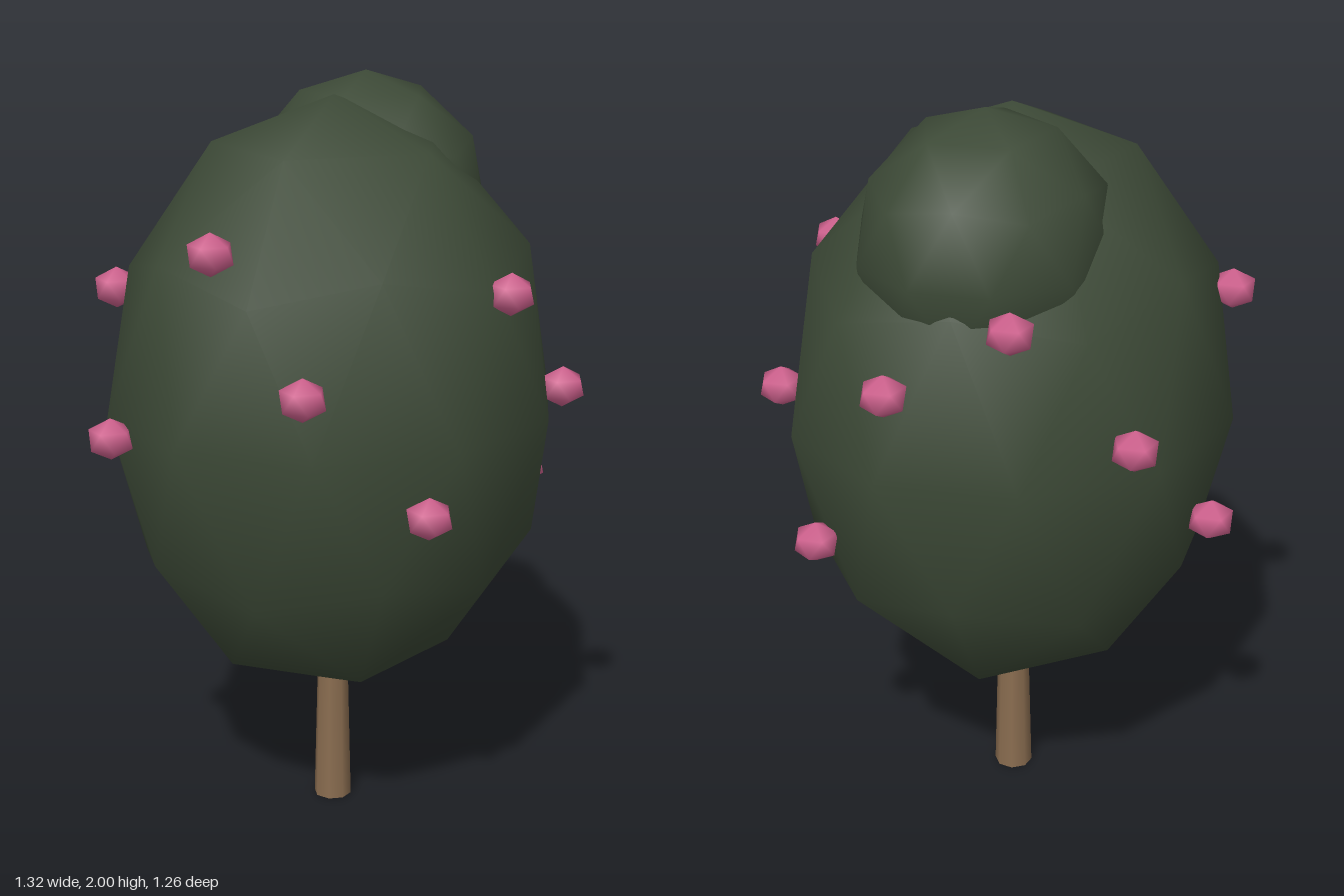
import * as THREE from 'three';

// Smooth low-poly ball with a vertex at each pole, stretched to the given radii
function makeBall(detail, rx, ry, rz) {
  const geo = new THREE.IcosahedronGeometry(1, detail);
  geo.rotateX(-Math.atan((1 + Math.sqrt(5)) / 2));
  geo.rotateY(Math.PI / 2);
  geo.setAttribute('normal', geo.attributes.position.clone());
  geo.scale(rx, ry, rz);
  return geo;
}

export function createModel() {
  const tree = new THREE.Group();
  tree.name = 'floweringTree';

  const material = (name, color) => {
    const m = new THREE.MeshStandardMaterial({ color });
    m.name = name;
    return m;
  };
  const leafGreen = material('leafGreen', 0x3d4a37);
  const barkBrown = material('barkBrown', 0x8a6d50);
  const blossomPink = material('blossomPink', 0xd1628f);

  const add = (name, geo, mat, x, y, z) => {
    const mesh = new THREE.Mesh(geo, mat);
    mesh.name = name;
    mesh.position.set(x, y, z);
    tree.add(mesh);
  };

  // Tapered trunk, running a little way into the crown
  add('trunk', new THREE.CylinderGeometry(0.041, 0.052, 0.45, 8), barkBrown, 0.013, 0.225, 0);

  // Tall crown with a smaller lump at the back of its left shoulder
  add('crown', makeBall(1, 0.612, 0.808, 0.57), leafGreen, 0.015, 1.152, 0);
  add('crownLump', makeBall(1, 0.335, 0.36, 0.325), leafGreen, 0.18, 1.64, -0.1);

  // Blossoms scattered around the crown
  const blossoms = [
    [-0.45, 1.63, 0.17], [-0.365, 1.32, 0.45], [0.22, 1.51, 0.49],
    [0.5, 1.2, 0.36], [0.575, 1.395, -0.2], [-0.605, 1.125, -0.085],
    [-0.08, 1.005, 0.575], [0.6, 0.89, 0.08], [0.35, 1.56, -0.4],
    [0.105, 1.245, -0.575], [-0.21, 0.93, -0.53], [-0.445, 1.45, -0.34],
  ];
  const blossomGeo = makeBall(0, 0.063, 0.055, 0.063);
  blossoms.forEach(([x, y, z], i) => add(`blossom${i + 1}`, blossomGeo, blossomPink, x, y, z));

  return tree;
}
